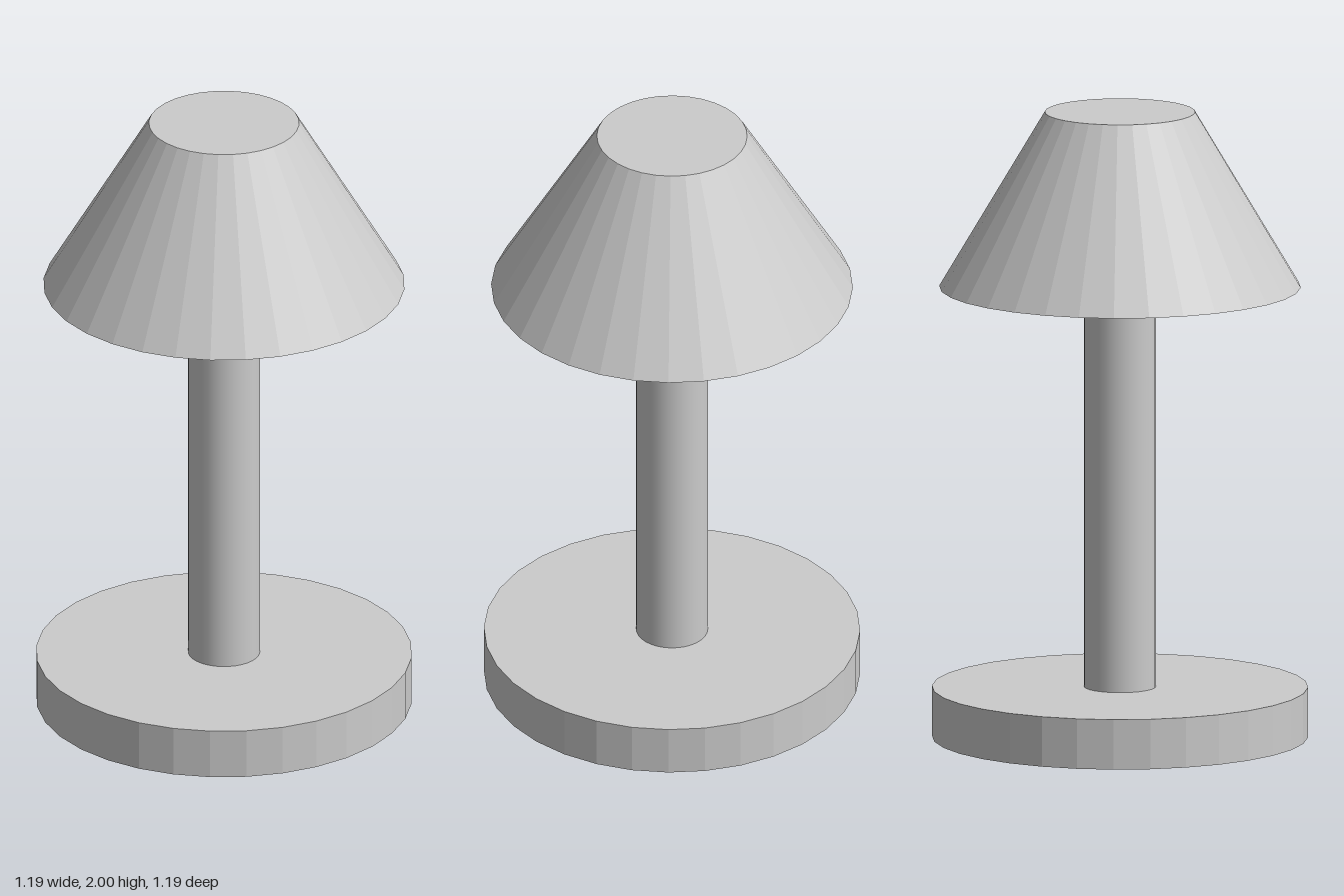
import * as THREE from 'three';

const SIDES = 32;
const v = (x, y) => new THREE.Vector2(x, y);

export function createModel() {
  const lamp = new THREE.Group();
  lamp.name = 'tableLamp';

  const smooth = new THREE.MeshStandardMaterial({ color: 0xcccccc });
  const faceted = new THREE.MeshStandardMaterial({ color: 0xcccccc, flatShading: true });
  const thin = new THREE.MeshStandardMaterial({ color: 0xcccccc, flatShading: true, side: THREE.DoubleSide });

  const add = (name, geometry, material, y = 0) => {
    const mesh = new THREE.Mesh(geometry, material);
    mesh.name = name;
    mesh.position.y = y;
    lamp.add(mesh);
  };

  // Heavy round foot
  add('base', new THREE.CylinderGeometry(0.593, 0.593, 0.16, SIDES), faceted, 0.08);

  // Column between foot and socket
  add('pole', new THREE.CylinderGeometry(0.113, 0.113, 1.27, SIDES), smooth, 0.785);

  // Flared bulb socket
  const socket = [v(0.113, 1.405), v(0.141, 1.46), v(0.141, 1.53), v(0, 1.53)];
  add('socket', new THREE.LatheGeometry(socket, SIDES), faceted);

  // Round bulb inside the shade
  add('bulb', new THREE.SphereGeometry(0.178, SIDES, 16), faceted, 1.62);

  // Thin conical shade: open below, closed on top
  const shade = [v(0.57, 1.44), v(0.237, 2), v(0, 2)];
  add('shade', new THREE.LatheGeometry(shade, SIDES), thin);

  return lamp;
}
